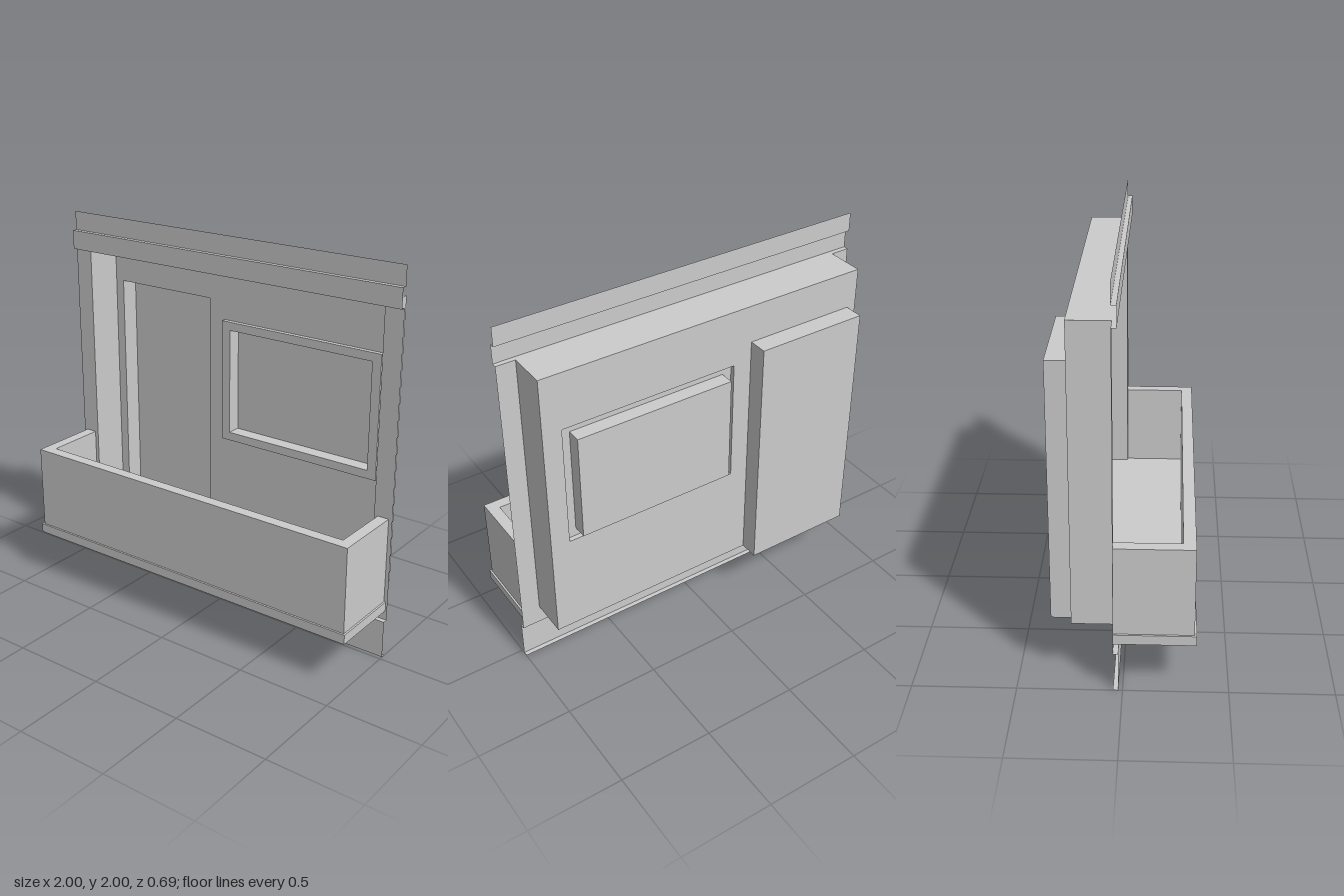
import * as THREE from 'three';

const material = new THREE.MeshStandardMaterial({ color: 0xcccccc, side: THREE.DoubleSide });

// Depths of the facade layers, front to back
const Z = { slab: 0.345, parapet: 0.335, band: -0.02, wall: -0.045, frame: -0.22, recess: -0.245, window: -0.295, door: -0.345 };

// Openings
const LOGGIA = { x0: -0.9, x1: 0.9, y0: 0.3, y1: 1.8 };
const DOOR = { x0: -0.85, x1: -0.25, y0: 0.3, y1: 1.6 };
const FRAME = { x0: -0.15, x1: 0.8, y0: 0.84, y1: 1.5 };
const WINDOW = { x0: -0.1, x1: 0.75, y0: 0.885, y1: 1.455 };

const corners = (r) => [[r.x0, r.y0], [r.x1, r.y0], [r.x1, r.y1], [r.x0, r.y1]];
const toPoints = (list) => list.map(([x, y]) => new THREE.Vector2(x, y));

function createModel() {
  const model = new THREE.Group();
  model.name = 'balconyFacade';

  function add(name, geometry) {
    const mesh = new THREE.Mesh(geometry, material);
    mesh.name = name;
    model.add(mesh);
  }

  // Flat sheet facing +z, with optional holes
  function panel(name, outline, z, holes = []) {
    const shape = new THREE.Shape(toPoints(outline));
    for (const hole of holes) shape.holes.push(new THREE.Path(toPoints(hole)));
    add(name, new THREE.ShapeGeometry(shape).translate(0, 0, z));
  }

  // Flat-shaded strip of quads between two matching point rows
  function strip(name, a, b) {
    const pos = [];
    for (let i = 0; i < a.length - 1; i++) {
      for (const p of [a[i], b[i], b[i + 1], a[i], b[i + 1], a[i + 1]]) pos.push(...p);
    }
    const geometry = new THREE.BufferGeometry();
    geometry.setAttribute('position', new THREE.Float32BufferAttribute(pos, 3));
    geometry.computeVertexNormals();
    add(name, geometry);
  }

  // Four sides of a rectangular opening between two depths
  function reveal(name, rect, zFront, zBack) {
    const loop = [...corners(rect), corners(rect)[0]];
    strip(name, loop.map(([x, y]) => [x, y, zFront]), loop.map(([x, y]) => [x, y, zBack]));
  }

  // Full-width moulding swept along x from a [y, z] profile running downwards
  function moulding(name, profile) {
    const row = (x) => profile.map(([y, z]) => [x, y, z]);
    strip(name, row(1), row(-1));
  }

  // Outer wall: cornice above, plinth below, a pier on either side
  moulding('cornice', [[2, Z.wall], [1.9, Z.wall], [1.9, Z.band], [1.8, Z.band], [1.8, Z.wall]]);
  moulding('plinth', [[0.3, Z.wall], [0.2, Z.wall], [0.2, Z.band], [0, Z.band], [0, Z.wall]]);
  panel('rightPier', corners({ x0: -1, x1: -0.9, y0: 0.3, y1: 1.8 }), Z.wall);
  panel('leftPier', corners({ x0: 0.9, x1: 1, y0: 0.3, y1: 1.8 }), Z.wall);

  // Recessed loggia, its back wall notched for the door and pierced for the window
  reveal('loggiaSides', LOGGIA, Z.wall, Z.recess);
  panel('loggiaBackWall', [
    [LOGGIA.x0, LOGGIA.y0], [DOOR.x0, DOOR.y0], [DOOR.x0, DOOR.y1], [DOOR.x1, DOOR.y1],
    [DOOR.x1, DOOR.y0], [LOGGIA.x1, LOGGIA.y0], [LOGGIA.x1, LOGGIA.y1], [LOGGIA.x0, LOGGIA.y1],
  ], Z.recess, [corners(FRAME)]);

  // Door niche
  reveal('doorJambs', DOOR, Z.recess, Z.door);
  panel('door', corners(DOOR), Z.door);

  // Raised window frame and sunken pane
  reveal('windowFrameEdge', FRAME, Z.frame, Z.recess);
  panel('windowFrame', corners(FRAME), Z.frame, [corners(WINDOW)]);
  reveal('windowJambs', WINDOW, Z.frame, Z.window);
  panel('windowPane', corners(WINDOW), Z.window);

  // Balcony slab
  const depth = Z.slab - Z.wall;
  add('balconySlab', new THREE.BoxGeometry(1.98, 0.05, depth).translate(0, 0.275, Z.wall + depth / 2));

  // U-shaped parapet, drawn in plan and raised from the slab
  const plan = new THREE.Shape(toPoints([
    [-0.98, -Z.wall], [-0.98, -Z.parapet], [0.98, -Z.parapet], [0.98, -Z.wall],
    [0.92, -Z.wall], [0.92, -0.275], [-0.92, -0.275], [-0.92, -Z.wall],
  ]));
  add('balconyParapet', new THREE.ExtrudeGeometry(plan, { depth: 0.45, bevelEnabled: false })
    .rotateX(-Math.PI / 2).translate(0, 0.3, 0));

  return model;
}

export { createModel };
